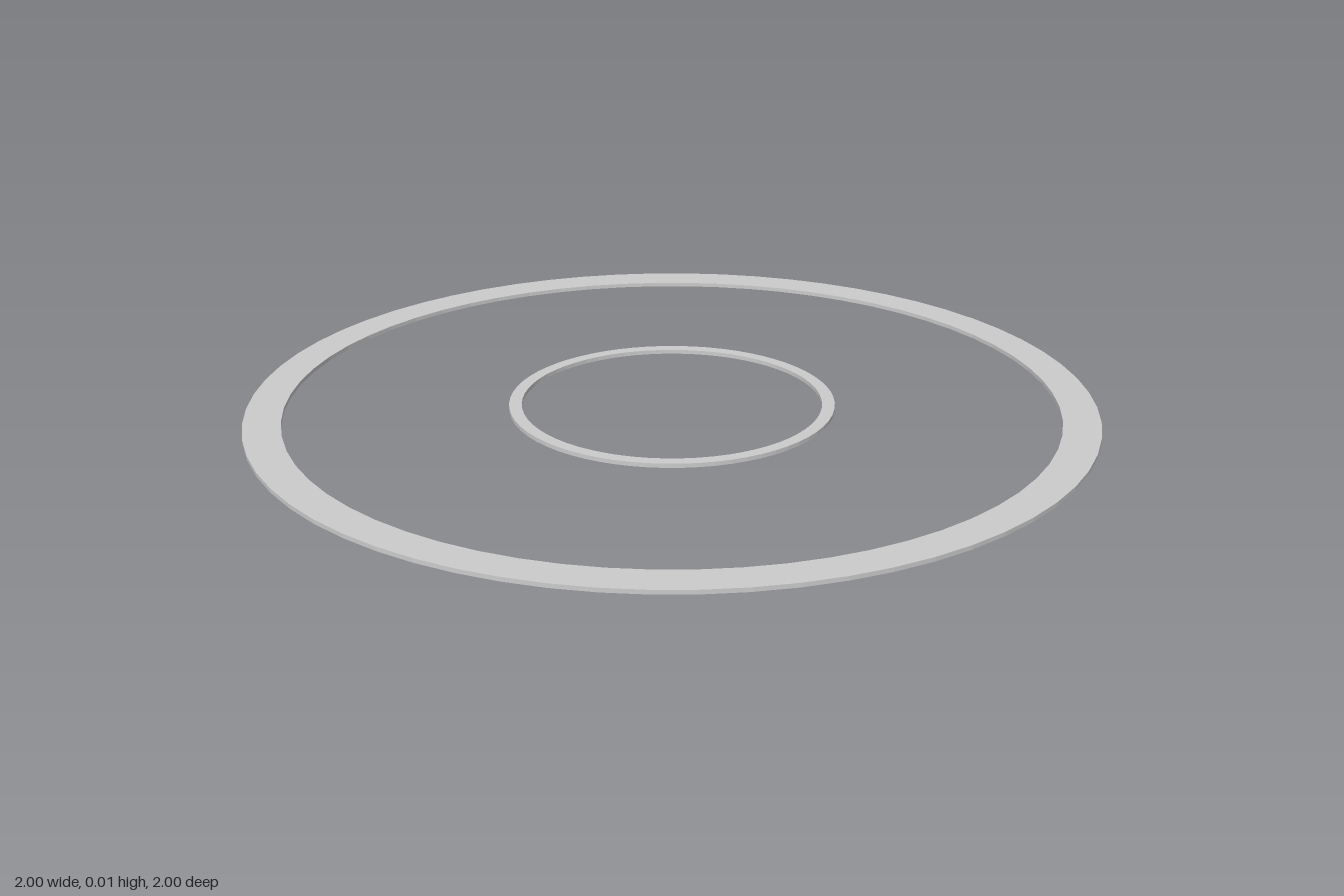
import * as THREE from 'three';

const THICKNESS = 0.01;

// Flat ring lying on the ground, with a rectangular cross-section
function makeRing(name, outerRadius, innerRadius, material) {
  const shape = new THREE.Shape().absarc(0, 0, outerRadius, 0, Math.PI * 2, false);
  shape.holes.push(new THREE.Path().absarc(0, 0, innerRadius, 0, Math.PI * 2, true));
  const geometry = new THREE.ExtrudeGeometry(shape, {
    depth: THICKNESS,
    bevelEnabled: false,
    curveSegments: 32, // a full arc gets two points per segment: 64 sides
  });
  geometry.rotateX(-Math.PI / 2);
  const ring = new THREE.Mesh(geometry, material);
  ring.name = name;
  return ring;
}

export function createModel() {
  const model = new THREE.Group();
  model.name = 'concentricRings';
  const material = new THREE.MeshStandardMaterial({ color: 0xcccccc });

  // Wide outer ring and narrow inner ring
  model.add(makeRing('outerRing', 1, 0.912, material));
  model.add(makeRing('innerRing', 0.385, 0.355, material));
  return model;
}
